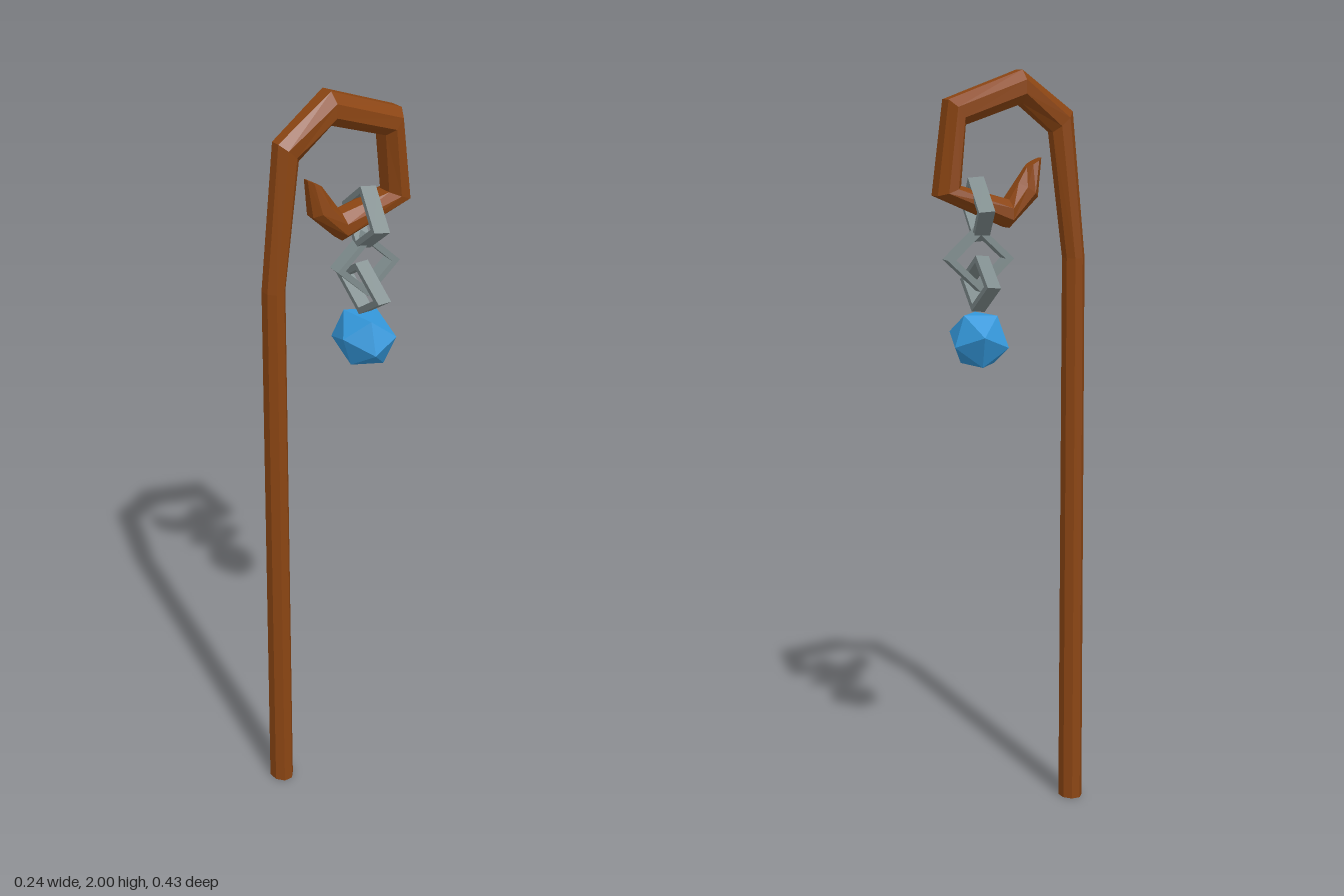
import * as THREE from 'three';

const wood = new THREE.MeshStandardMaterial({ color: 0x8b4513, flatShading: true });
wood.name = 'wood';
const metal = new THREE.MeshStandardMaterial({ color: 0x7f8c8d, flatShading: true });
metal.name = 'greyMetal';
const crystal = new THREE.MeshStandardMaterial({ color: 0x3498db, flatShading: true });
crystal.name = 'blueCrystal';

// Octagonal sweep; each ring is [outer z, outer y, inner z, inner y, centre x, half width]
function sweep(rings, sides = 8) {
  const pts = rings.map(([oz, oy, iz, iy, cx, hw]) =>
    Array.from({ length: sides }, (_, j) => {
      const a = ((j + 0.5) / sides) * Math.PI * 2;
      const k = 1 / Math.cos(Math.PI / sides);
      const s = (Math.sin(a) * k) / 2;
      return [
        cx + Math.cos(a) * k * hw,
        (oy + iy) / 2 + s * (oy - iy),
        (oz + iz) / 2 + s * (oz - iz),
      ];
    }));
  const pos = [];
  const tri = (a, b, c) => pos.push(...a, ...b, ...c);
  for (let i = 0; i < pts.length - 1; i++) {
    for (let j = 0; j < sides; j++) {
      const n = (j + 1) % sides;
      tri(pts[i][j], pts[i + 1][j], pts[i + 1][n]);
      tri(pts[i][j], pts[i + 1][n], pts[i][n]);
    }
  }
  const first = pts[0], last = pts[pts.length - 1];
  for (let j = 1; j < sides - 1; j++) {
    tri(first[0], first[j], first[j + 1]);
    tri(last[0], last[j + 1], last[j]);
  }
  const g = new THREE.BufferGeometry();
  g.setAttribute('position', new THREE.Float32BufferAttribute(pos, 3));
  g.computeVertexNormals();
  return g;
}

// Diamond-shaped chain link with a diamond hole
function linkGeometry(w, h, bar, depth) {
  const diamond = (Type, k) => {
    const s = new Type();
    s.moveTo(w * k, 0);
    s.lineTo(0, h * k);
    s.lineTo(-w * k, 0);
    s.lineTo(0, -h * k);
    s.closePath();
    return s;
  };
  const shape = diamond(THREE.Shape, 1);
  shape.holes.push(diamond(THREE.Path, 1 - (bar * Math.hypot(w, h)) / (w * h)));
  const g = new THREE.ExtrudeGeometry(shape, { depth, bevelEnabled: false });
  return g.translate(0, 0, -depth / 2);
}

// Icosahedron resting on a face, with one upper corner towards +z
function gemGeometry() {
  const g = new THREE.IcosahedronGeometry(0.081, 0);
  const y = new THREE.Vector3(1, 1, 1).normalize();
  const z = new THREE.Vector3(-1, (1 + Math.sqrt(5)) / 2, 0);
  z.addScaledVector(y, -z.dot(y)).normalize();
  const x = new THREE.Vector3().crossVectors(y, z);
  g.applyMatrix4(new THREE.Matrix4().makeBasis(x, y, z).transpose());
  return g.rotateY(0.15).scale(1.27, 1.03, 0.97);
}

export function createModel() {
  const group = new THREE.Group();
  group.name = 'crookStaff';
  const add = (name, geometry, material, parent = group) => {
    const m = new THREE.Mesh(geometry, material);
    m.name = name;
    parent.add(m);
    return m;
  };

  // Straight shaft curling into the hook
  add('staff', sweep([
    [0.217, 0, 0.159, 0, -0.003, 0.035],
    [0.215, 1.51, 0.161, 1.51, -0.003, 0.032],
    [0.178, 1.893, 0.119, 1.84, 0, 0.033],
    [0.029, 2.0, 0.029, 1.914, 0.004, 0.045],
    [-0.178, 1.925, -0.13, 1.861, 0.012, 0.047],
    [-0.212, 1.682, -0.146, 1.707, 0.008, 0.047],
    [-0.019, 1.597, -0.019, 1.67, -0.016, 0.044],
    [0.066, 1.675, 0.01, 1.712, -0.017, 0.034],
    [0.08, 1.775, 0.038, 1.752, -0.015, 0.02],
  ]), wood);

  // Three interlocking links: [half width, half height, depth, x, y, z, tilt, turn]
  const chain = new THREE.Group();
  chain.name = 'chain';
  group.add(chain);
  [
    [0.117, 0.083, 0.042, 0.003, 1.645, -0.09, -0.08, -0.26],
    [0.092, 0.085, 0.042, 0, 1.517, -0.092, 0, Math.PI / 2 - 0.1],
    [0.118, 0.073, 0.036, 0, 1.452, -0.087, 0.08, -0.14],
  ].forEach(([w, h, d, x, y, z, tilt, turn], i) => {
    const link = add('chainLink' + (i + 1), linkGeometry(w, h, 0.016, d), metal, chain);
    link.position.set(x, y, z);
    link.rotation.set(tilt, turn, 0, 'YXZ');
  });

  // Hanging crystal
  add('crystal', gemGeometry(), crystal).position.set(-0.008, 1.307, -0.095);
  return group;
}
